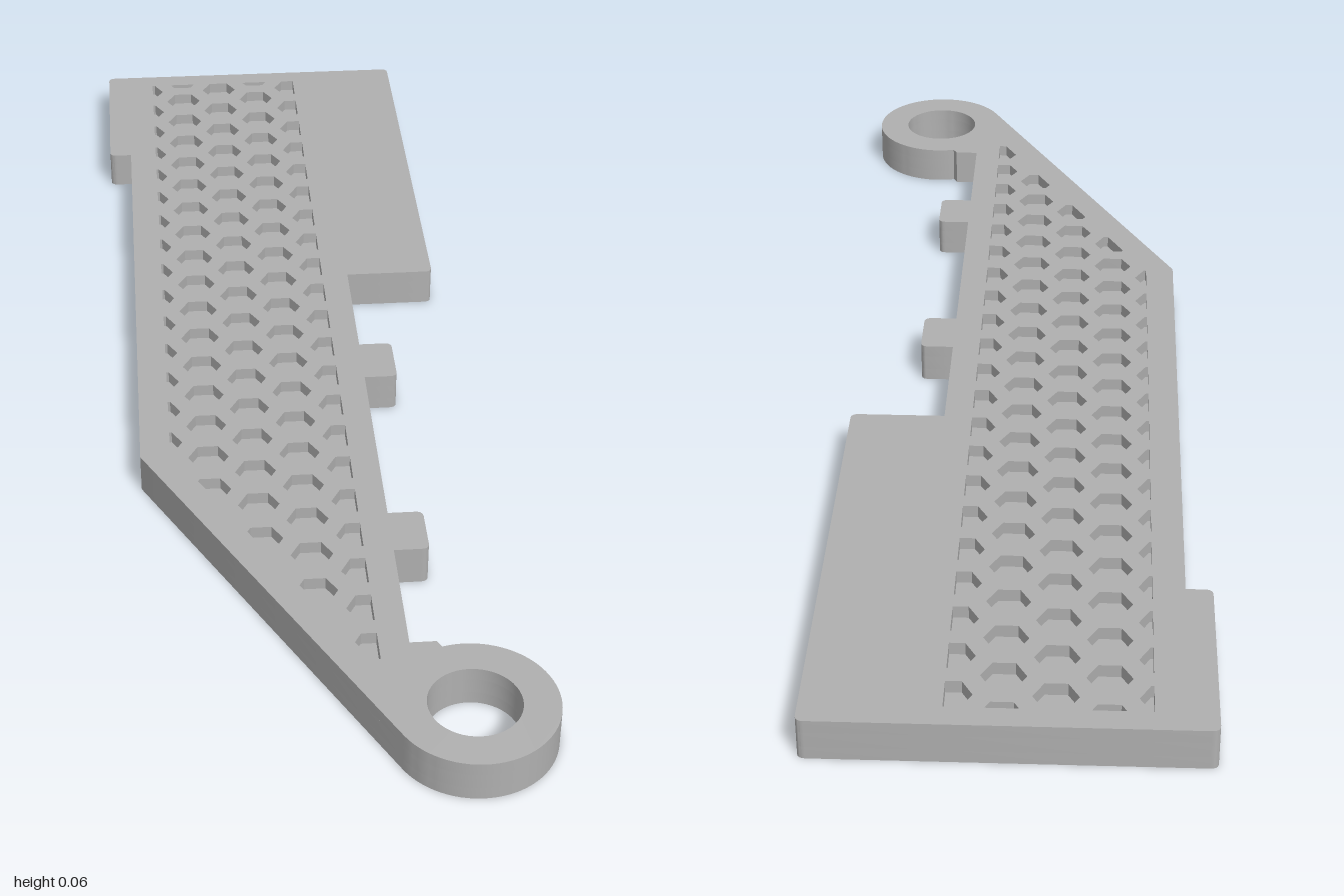
import * as THREE from 'three';
import { toCreasedNormals } from 'three/addons/utils/BufferGeometryUtils.js';

const HEIGHT = 0.065, POCKET = 0.02, SLOT = 0.02;
const RING = { x: 0.188, z: 0.878, outer: 0.122, inner: 0.068 };

// Plan points are [x, z]; shapes use y = -z so they lie flat after rotation
const toVectors = (pts) => pts.map(([x, z]) => new THREE.Vector2(x, -z));

// Points on a circle between two angles in the x-z plane
function arc(cx, cz, r, from, to, n) {
  return Array.from({ length: n + 1 }, (_, i) => {
    const a = THREE.MathUtils.degToRad(from + ((to - from) * i) / n);
    return [cx + r * Math.cos(a), cz + r * Math.sin(a)];
  });
}

// Replaces each corner [x, z, r] that has a radius with a short curve
function roundCorners(corners) {
  return corners.flatMap(([x, z, r], i) => {
    if (!r) return [[x, z]];
    const c = new THREE.Vector2(x, z);
    const ends = [corners.at(i - 1), corners[(i + 1) % corners.length]].map(([px, pz]) =>
      c.clone().add(new THREE.Vector2(px - x, pz - z).setLength(r)));
    return new THREE.QuadraticBezierCurve(ends[0], c, ends[1]).getPoints(5).map((p) => [p.x, p.y]);
  });
}

// Keeps the part of a polygon where nx * x + nz * z >= d
function clip(poly, [nx, nz, d]) {
  const out = [];
  poly.forEach((a, i) => {
    const b = poly[(i + 1) % poly.length];
    const da = nx * a[0] + nz * a[1] - d, db = nx * b[0] + nz * b[1] - d;
    if (da >= 0) out.push(a);
    if (da * db < 0) {
      const t = da / (da - db);
      out.push([a[0] + t * (b[0] - a[0]), a[1] + t * (b[1] - a[1])]);
    }
  });
  return out;
}

// Honeycomb cells trimmed to a margin inside the arm
function honeycomb() {
  const pitch = 0.0844, radius = 0.0325;
  const nx = 0.88, nz = -0.474;
  const limits = [
    [1, 0, -0.222], [-1, 0, -0.065], [0, 1, -0.963],
    [nx, nz, nx * -0.229 + nz * 0.258],
  ];
  const cells = [];
  for (let col = -2; col <= 2; col++) {
    for (let row = 0; row < 23; row++) {
      const x = -0.088 + col * pitch * Math.sqrt(3) / 2;
      const z = -0.936 + (row - (col % 2 ? 0.5 : 0)) * pitch;
      const cell = limits.reduce(clip, arc(x, z, radius, 0, 300, 5));
      if (cell.length > 2 && Math.abs(THREE.ShapeUtils.area(toVectors(cell))) > 0.00015) cells.push(cell);
    }
  }
  return cells;
}

// Rectangle turned about its centre
function slot(cx, cz, width, length, degrees) {
  const a = THREE.MathUtils.degToRad(degrees), c = Math.cos(a), s = Math.sin(a);
  return [[-1, -1], [1, -1], [1, 1], [-1, 1]].map(([i, j]) => {
    const x = (i * width) / 2, z = (j * length) / 2;
    return [cx + x * c - z * s, cz + x * s + z * c];
  });
}

export function createModel() {
  const group = new THREE.Group();
  group.name = 'perforatedArm';
  const grey = new THREE.MeshStandardMaterial({ color: 0xb0b0b0 });
  grey.name = 'grey';

  // Outline: wide end, tapered arm, ring, two side tabs
  const r = 0.012;
  const tab = (z0, z1) => [[0.11, z1], [0.165, z1, r], [0.165, z0, r], [0.11, z0]];
  const outline = roundCorners([
    [-0.31, -1, r], [-0.31, -0.685, r], [-0.27, -0.685], [-0.27, 0.28],
    ...arc(RING.x, RING.z, RING.outer, 151.6, -105, 56),
    [0.15, 0.748], [0.11, 0.748],
    ...tab(0.45, 0.54), ...tab(-0.01, 0.087),
    [0.11, -0.23], [0.262, -0.23, r], [0.262, -1, r],
  ]);
  const bore = arc(RING.x, RING.z, RING.inner, 0, 352.5, 47);

  // One horizontal layer of the arm with its own cut-outs
  function layer(name, y, depth, cuts) {
    const shape = new THREE.Shape(toVectors(outline));
    shape.holes = [bore, ...cuts].map((pts) => new THREE.Path(toVectors(pts)));
    const geo = new THREE.ExtrudeGeometry(shape, { depth, bevelEnabled: false });
    geo.rotateX(-Math.PI / 2);
    const mesh = new THREE.Mesh(toCreasedNormals(geo, 0.5), grey);
    mesh.name = name;
    mesh.position.y = y;
    group.add(mesh);
  }

  layer('slottedUnderside', 0, SLOT, [
    slot(0.018, 0.012, 0.038, 0.19, 14.6),
    slot(-0.18, 0.08, 0.038, 0.2, 0),
  ]);
  layer('solidCore', SLOT, HEIGHT - SLOT - POCKET, []);
  layer('honeycombTop', HEIGHT - POCKET, POCKET, honeycomb());
  return group;
}
